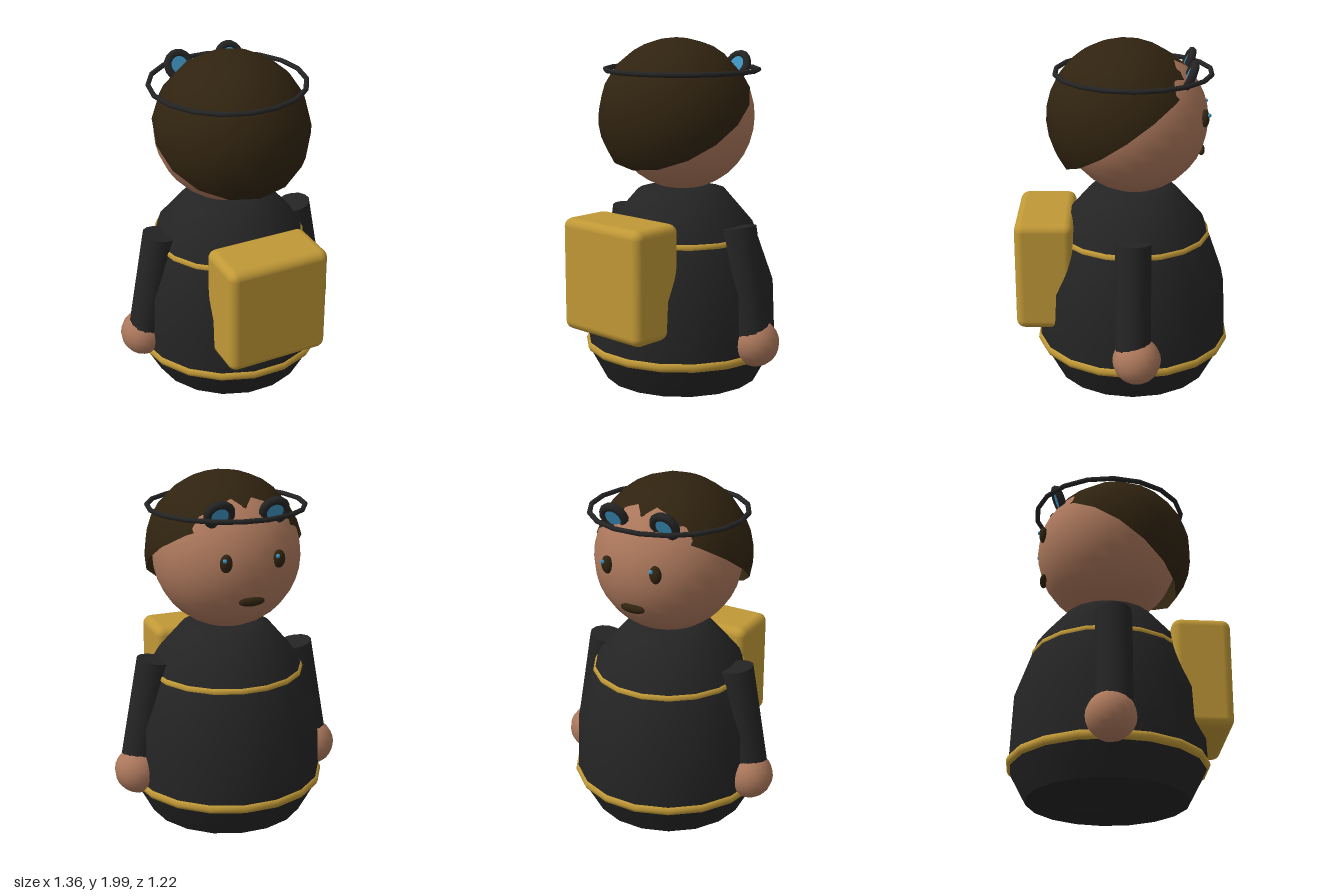
import * as THREE from 'three';
import { RoundedBoxGeometry } from 'three/addons/geometries/RoundedBoxGeometry.js';

const mat = (name, color, side = THREE.FrontSide) => {
  const m = new THREE.MeshStandardMaterial({ color, side });
  m.name = name;
  return m;
};

export function createModel() {
  const group = new THREE.Group();
  const black = mat('black cloth', 0x242424);
  const gold = mat('gold', 0xc09836);
  const skin = mat('skin', 0xab775b);
  const brown = mat('dark brown', 0x302310, THREE.DoubleSide);
  const blue = mat('lens blue', 0x3d93c0);
  const axisZ = -0.053; // body axis; the figure faces -z

  const add = (name, geometry, material, x, y, z, parent = group) => {
    const m = new THREE.Mesh(geometry, material);
    m.name = name;
    m.position.set(x, y, z);
    parent.add(m);
    return m;
  };
  const ball = (name, material, pos, rx, ry = rx, rz = rx, seg = 16) => {
    const m = add(name, new THREE.SphereGeometry(1, seg, Math.round(seg * 0.75)), material, ...pos);
    m.scale.set(rx, ry, rz);
    return m;
  };
  const hoop = (name, material, y, radius, tube) => {
    const m = add(name, new THREE.TorusGeometry(radius, tube, 8, 18), material, 0, y, axisZ);
    m.rotation.x = Math.PI / 2;
    return m;
  };

  // Robe: bell-shaped body with a closed base
  const profile = [[0, 0.03], [0.45, 0.03], [0.45, 0.03], [0.54, 0.2], [0.548, 0.25], [0.533, 0.6],
    [0.41, 0.95], [0.255, 1.13], [0.15, 1.155], [0, 1.155]].map(p => new THREE.Vector2(...p));
  add('robe', new THREE.LatheGeometry(profile, 18), black, 0, 0, axisZ).rotation.y = Math.PI / 2;
  hoop('lowerTrim', gold, 0.23, 0.533, 0.03);
  hoop('upperTrim', gold, 0.875, 0.418, 0.025);

  // Backpack
  add('backpack', new RoundedBoxGeometry(0.6, 0.64, 0.33, 3, 0.05), gold, 0, 0.7, 0.447);

  // Head with a tilted cap of hair
  ball('head', skin, [0, 1.55, -0.06], 0.413, 0.413, 0.413, 24);
  const hair = add('hair', new THREE.SphereGeometry(0.445, 16, 8, 0, Math.PI * 2, 0, Math.PI * 0.512),
    brown, 0, 1.555, -0.01);
  hair.rotation.x = 0.61;
  ball('mouth', brown, [0, 1.37, -0.435], 0.075, 0.026, 0.022);

  // Goggle strap
  hoop('goggleStrap', black, 1.82, 0.435, 0.014);

  for (const s of [-1, 1]) {
    // Eyes with highlights
    ball('eye', brown, [s * 0.15, 1.595, -0.445], 0.035, 0.05, 0.024);
    ball('eyeHighlight', blue, [s * 0.15 + 0.015, 1.615, -0.466], 0.012, 0.012, 0.012, 8);

    // Goggles: rim and lens, tipped slightly down
    const goggle = new THREE.Group();
    goggle.name = 'goggle';
    goggle.position.set(s * 0.156, 1.835, -0.36);
    goggle.rotation.x = -0.4;
    group.add(goggle);
    add('goggleRim', new THREE.TorusGeometry(0.066, 0.023, 8, 16), black, 0, 0, 0, goggle);
    add('goggleLens', new THREE.CylinderGeometry(0.06, 0.06, 0.025, 16), blue, 0, 0, 0, goggle)
      .rotation.x = Math.PI / 2;

    // Sleeve, hand and foot
    const sleeve = add('sleeve', new THREE.CylinderGeometry(0.1, 0.1, 0.61, 14), black, s * 0.484, 0.668, axisZ);
    sleeve.rotation.z = s * 0.18;
    ball('hand', skin, [s * 0.545, 0.32, -0.073], 0.135);
    ball('foot', black, [s * 0.2, 0.095, -0.155], 0.16, 0.09, 0.22);
  }
  return group;
}
